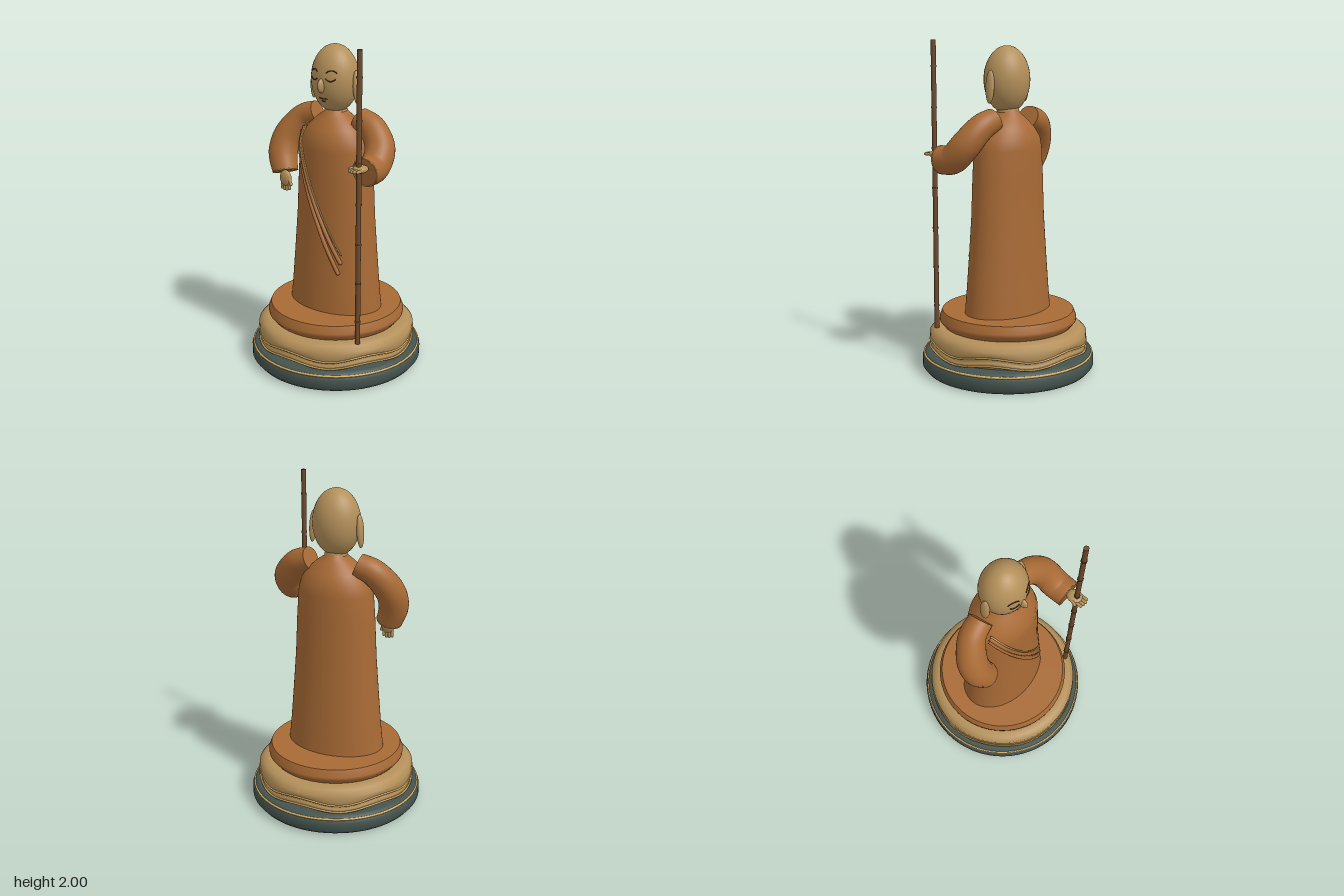
import * as THREE from 'three';

const mat = (name, color, side = THREE.FrontSide) => {
  const m = new THREE.MeshStandardMaterial({ color, side });
  m.name = name;
  return m;
};

// Robe rings: [half width, height, half depth]
const ROBE = [
  [0.31, 0.36, 0.218], [0.295, 0.5, 0.21], [0.278, 0.7, 0.198], [0.258, 0.95, 0.186],
  [0.245, 1.2, 0.182], [0.232, 1.36, 0.18], [0.215, 1.425, 0.175], [0.175, 1.485, 0.145],
  [0.115, 1.54, 0.105], [0.07, 1.57, 0.08], [0.055, 1.6, 0.06],
];
const HEAD = { y: 1.768, z: 0.008, rx: 0.145, ry: 0.2, rz: 0.134 };

// Front surface depth of the robe at (x, y)
function robeZ(x, y) {
  let i = 0;
  while (i < ROBE.length - 2 && ROBE[i + 1][1] < y) i++;
  const [a, b] = [ROBE[i], ROBE[i + 1]];
  const t = (y - a[1]) / (b[1] - a[1]);
  const rx = THREE.MathUtils.lerp(a[0], b[0], t);
  const rz = THREE.MathUtils.lerp(a[2], b[2], t);
  return rz * Math.sqrt(Math.max(0.12, 1 - (x / rx) ** 2));
}

// Front surface depth of the head at (x, y)
const headZ = (x, y) =>
  HEAD.z + HEAD.rz * Math.sqrt(Math.max(0, 1 - (x / HEAD.rx) ** 2 - ((y - HEAD.y) / HEAD.ry) ** 2));

const vec = (p) => new THREE.Vector3(...p);

export function createModel() {
  const orange = mat('robe orange', 0xa86a35);
  const tan = mat('skin tan', 0xb4905a);
  const slate = mat('base slate', 0x45544f);
  const gold = mat('trim gold', 0xd2a85c);
  const brown = mat('staff brown', 0x6e4a2c);
  const dark = mat('face line dark', 0x4a301c);

  const model = new THREE.Group();
  const add = (name, geo, material, parent = model) => {
    const m = new THREE.Mesh(geo, material);
    m.name = name;
    parent.add(m);
    return m;
  };
  const lathe = (pts, seg = 72) =>
    new THREE.LatheGeometry(pts.map((p) => new THREE.Vector2(p[0], p[1])), seg, Math.PI);
  const ellipsoid = (name, pos, size, material, parent = model) => {
    const m = add(name, new THREE.SphereGeometry(1, 32, 24), material, parent);
    m.position.set(...pos);
    m.scale.set(...size);
    return m;
  };
  const cord = (name, pts, r, material, closed = false) =>
    add(name, new THREE.TubeGeometry(new THREE.CatmullRomCurve3(pts, closed),
      closed ? 144 : 32, r, 8, closed), material);

  // Stepped round base
  add('baseDisc', lathe([[0, 0], [0.505, 0], [0.53, 0.03], [0.53, 0.08], [0.515, 0.105],
    [0.49, 0.12], [0, 0.12]]), slate);
  const rim = add('baseTrim', new THREE.TorusGeometry(0.517, 0.007, 8, 96), gold);
  rim.rotation.x = Math.PI / 2;
  rim.position.y = 0.1;

  // Lotus tier with a waving lower lip: [radius, height, wave amount]
  const tier = [[0.42, 0.11, 0], [0.45, 0.125, 0.004], [0.48, 0.14, 0.012], [0.468, 0.155, 0.014],
    [0.463, 0.175, 0.014], [0.482, 0.19, 0.014], [0.483, 0.235, 0], [0.455, 0.262, 0],
    [0.42, 0.275, 0], [0.0, 0.275, 0]];
  const wave = (a) => Math.cos(6 * a);
  const tierGeo = lathe(tier, 144);
  const tp = tierGeo.attributes.position;
  for (let i = 0; i < tp.count; i++) {
    const a = Math.atan2(tp.getX(i), tp.getZ(i));
    tp.setY(i, tp.getY(i) + tier[i % tier.length][2] * wave(a));
  }
  tierGeo.computeVertexNormals();
  add('lotusTier', tierGeo, tan);
  for (const [r, y, amp] of [[0.482, 0.185, 0.014], [0.482, 0.14, 0.012]]) {
    const pts = [];
    for (let i = 0; i < 72; i++) {
      const a = (i / 72) * Math.PI * 2;
      pts.push(new THREE.Vector3(r * Math.sin(a), y + amp * wave(a), r * Math.cos(a)));
    }
    cord('lotusTrim', pts, 0.006, gold, true);
  }
  add('upperDisc', lathe([[0.39, 0.27], [0.42, 0.305], [0.422, 0.325], [0.404, 0.37],
    [0.404, 0.37], [0, 0.37]]), orange);

  // Robe: a lathe flattened ring by ring
  const robeGeo = lathe(ROBE);
  const rp = robeGeo.attributes.position;
  for (let i = 0; i < rp.count; i++) {
    const [rx, , rz] = ROBE[i % ROBE.length];
    rp.setZ(i, (rp.getZ(i) * rz) / rx);
  }
  robeGeo.computeVertexNormals();
  add('robe', robeGeo, orange);
  add('neck', new THREE.CylinderGeometry(0.06, 0.07, 0.1, 32), tan).position.y = 1.6;

  // Diagonal sash folds: start, end, radius, lift, colour
  const folds = [
    [[-0.18, 1.47], [0.16, 0.75], 0.005, 0.008, gold],
    [[-0.19, 1.46], [0.155, 0.7], 0.013, 0.004, orange],
    [[-0.2, 1.44], [0.145, 0.635], 0.013, 0.004, orange],
  ];
  for (const [s, e, r, lift, m] of folds) {
    const pts = [];
    for (let i = 0; i <= 10; i++) {
      const t = i / 10;
      const x = s[0] + (e[0] - s[0]) * t - 0.02 * Math.sin(Math.PI * t);
      const y = s[1] + (e[1] - s[1]) * t;
      pts.push(new THREE.Vector3(x, y, robeZ(x, y) + lift));
    }
    cord('sashFold', pts, r, m);
    ellipsoid('sashEnd', pts[10].toArray(), [r, r, r], m);
  }

  // Sleeve: a tube whose radius changes along its length, with closed ends
  function sleeve(name, path, radii) {
    const group = new THREE.Group();
    group.name = name;
    model.add(group);
    const curve = new THREE.CatmullRomCurve3(path.map(vec));
    const N = 32, R = 32;
    const geo = new THREE.TubeGeometry(curve, N, 1, R);
    const p = geo.attributes.position;
    const radiusAt = (t) => {
      const f = t * (radii.length - 1), i = Math.min(Math.floor(f), radii.length - 2);
      return THREE.MathUtils.lerp(radii[i], radii[i + 1], f - i);
    };
    const v = new THREE.Vector3();
    for (let i = 0; i < p.count; i++) {
      const t = Math.floor(i / (R + 1)) / N;
      const c = curve.getPointAt(t);
      v.fromBufferAttribute(p, i).sub(c).multiplyScalar(radiusAt(t)).add(c);
      p.setXYZ(i, v.x, v.y, v.z);
    }
    add('sleeveCloth', geo, orange, group);
    for (const t of [0, 1]) {
      const dir = curve.getTangentAt(t).multiplyScalar(t ? 1 : -1);
      const cap = add('sleeveEnd', new THREE.CircleGeometry(radiusAt(t), R), orange, group);
      cap.position.copy(curve.getPointAt(t));
      cap.quaternion.setFromUnitVectors(new THREE.Vector3(0, 0, 1), dir);
      if (t) {
        const hem = add('cuffTrim', new THREE.TorusGeometry(radiusAt(1) - 0.002, 0.004, 8, 40), gold, group);
        hem.position.copy(cap.position);
        hem.quaternion.copy(cap.quaternion);
      }
    }
  }
  sleeve('rightSleeve', [[-0.155, 1.54, -0.025], [-0.25, 1.5, -0.01], [-0.33, 1.38, 0.05],
    [-0.335, 1.28, 0.09], [-0.3, 1.18, 0.115]], [0.07, 0.08, 0.088, 0.09, 0.078]);
  sleeve('leftSleeve', [[0.155, 1.54, -0.025], [0.25, 1.5, -0.015], [0.335, 1.4, 0.03],
    [0.355, 1.315, 0.115], [0.355, 1.305, 0.205]], [0.07, 0.08, 0.088, 0.088, 0.084]);

  // Hands point along their own +z
  function hand(name, pos, rx, thumbSide) {
    const g = new THREE.Group();
    g.name = name;
    g.position.set(...pos);
    g.rotation.x = rx;
    model.add(g);
    ellipsoid('palm', [0, 0, 0.045], [0.042, 0.023, 0.05], tan, g);
    for (let i = 0; i < 4; i++) {
      const k = i - 1.5;
      const f = add('finger', new THREE.CapsuleGeometry(0.0095, 0.05, 6, 12), tan, g);
      f.rotation.x = Math.PI / 2;
      f.position.set(k * 0.018, 0, 0.095 - Math.abs(k) * 0.007);
    }
    const thumb = add('thumb', new THREE.CapsuleGeometry(0.01, 0.04, 6, 12), tan, g);
    thumb.rotation.set(Math.PI / 2, 0, -thumbSide * 0.4);
    thumb.position.set(thumbSide * 0.037, 0.004, 0.06);
  }
  hand('leftHand', [0.355, 1.335, 0.205], 0, -1);
  hand('rightHand', [-0.285, 1.185, 0.13], Math.PI / 2, 1);

  // Jointed staff
  add('staff', new THREE.CylinderGeometry(0.015, 0.015, 1.73, 20), brown).position.set(0.355, 1.135, 0.265);
  for (let i = 0; i < 7; i++) {
    const j = add('staffJoint', new THREE.CylinderGeometry(0.018, 0.018, 0.01, 20), brown);
    j.position.set(0.355, 0.41 + i * 0.24, 0.265);
  }

  // Head, nose and long ears
  ellipsoid('head', [0, HEAD.y, HEAD.z], [HEAD.rx, HEAD.ry, HEAD.rz], tan);
  ellipsoid('nose', [0, 1.742, 0.137], [0.018, 0.042, 0.036], tan);
  for (const s of [-1, 1]) {
    const ear = ellipsoid('ear', [s * 0.153, 1.73, 0.005], [0.02, 0.098, 0.03], tan);
    ear.rotation.z = s * 0.06;
  }

  // Fine face lines: centre x, centre y, half width, sag
  const line = (name, cx, cy, hw, sag) => {
    const pts = [];
    for (let i = -3; i <= 3; i++) {
      const x = cx + (i / 3) * hw, y = cy + sag * (1 - (i / 3) ** 2);
      pts.push(new THREE.Vector3(x, y, headZ(x, y) + 0.001));
    }
    cord(name, pts, 0.0032, dark);
  };
  for (const s of [-1, 1]) {
    line('eyebrow', s * 0.06, 1.818, 0.03, 0.014);
    line('closedEye', s * 0.057, 1.785, 0.028, -0.014);
  }
  line('upperLip', 0, 1.668, 0.028, -0.005);
  line('lowerLip', 0, 1.652, 0.014, -0.004);

  return model;
}
